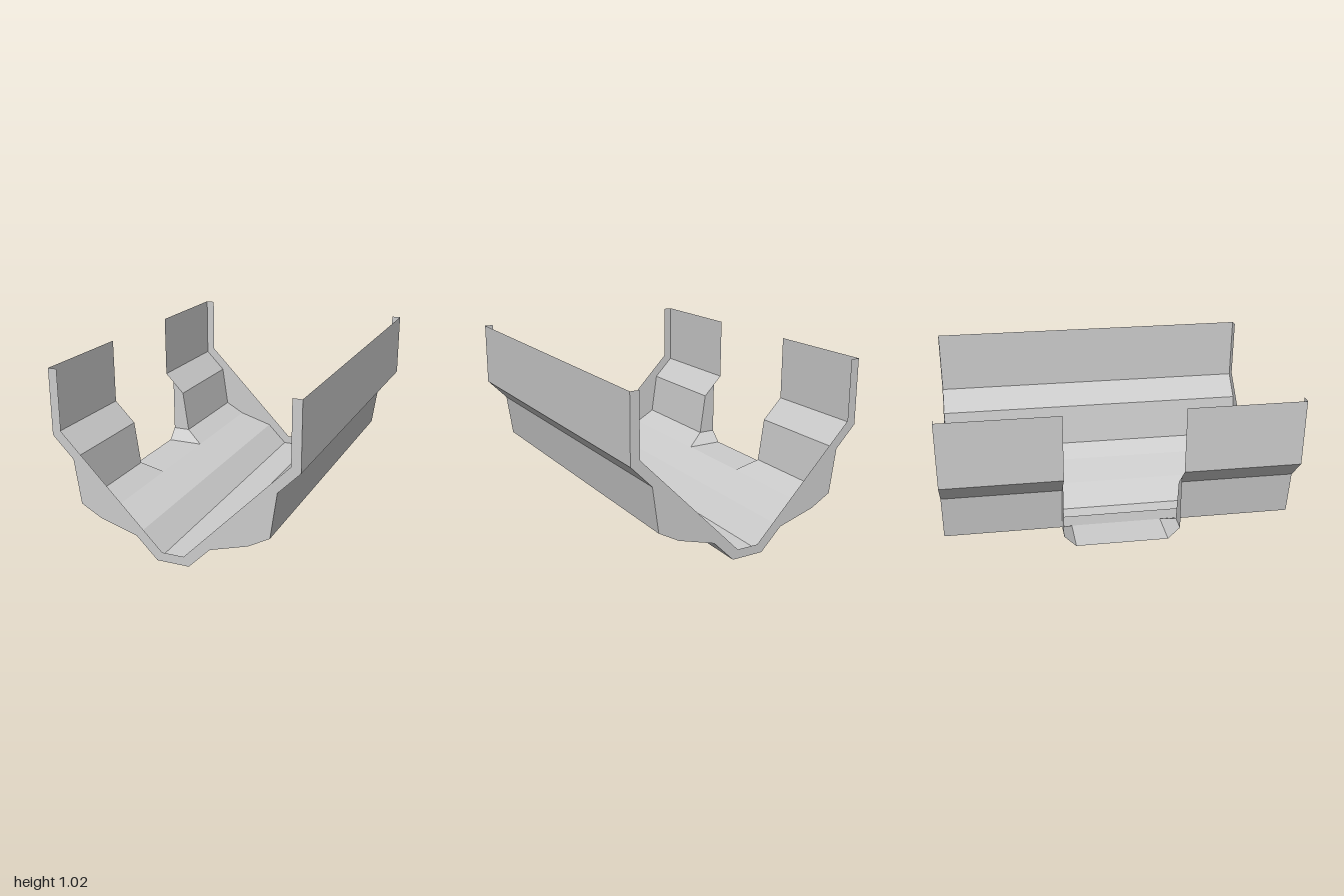
import * as THREE from 'three';

const grey = new THREE.MeshStandardMaterial({ color: 0xcccccc, side: THREE.DoubleSide });
grey.name = 'plain grey';

// Outer half profile, from the bottom edge up to the rim
const outer = [[0.095, 0], [0.22, 0.125], [0.44, 0.19], [0.56, 0.257], [0.597, 0.515], [0.72, 0.64], [0.72, 1.02]];
// Inner half profile, used only by the end plates
const inner = [[0.667, 1.02], [0.667, 0.667], [0.065, 0.053]];
const END = 1;
const SPOUT_X = -0.667;

// Flat faceted mesh from convex polygons
function facets(name, polygons) {
  const pos = [];
  for (const p of polygons) {
    for (let i = 1; i < p.length - 1; i++) pos.push(...p[0], ...p[i], ...p[i + 1]);
  }
  const geometry = new THREE.BufferGeometry();
  geometry.setAttribute('position', new THREE.Float32BufferAttribute(pos, 3));
  geometry.computeVertexNormals();
  const mesh = new THREE.Mesh(geometry, grey);
  mesh.name = name;
  return mesh;
}

// Strip between two profile points, each with its own z range
const strip = (a, b, za0, za1, zb0, zb1) =>
  [[...a, za0], [...a, za1], [...b, zb1], [...b, zb0]];

export function createModel() {
  const group = new THREE.Group();
  group.name = 'trough';
  const mirror = ([x, y]) => [-x, y];

  // Bottom and the unbroken left wall
  group.add(facets('bottom', [strip(mirror(outer[0]), outer[0], -END, END, -END, END)]));
  const left = [], right = [];
  for (let i = 0; i < outer.length - 1; i++) {
    const a = outer[i], b = outer[i + 1];
    left.push(strip(a, b, -END, END, -END, END));

    // Right wall, with an opening in the middle above the second fold
    const ma = mirror(a), mb = mirror(b);
    if (i < 2) {
      right.push(strip(mb, ma, -END, END, -END, END));
    } else {
      const ga = i === 2 ? 0.265 : 0.333, gb = 0.333;
      right.push(strip(mb, ma, -END, -gb, -END, -ga), strip(mb, ma, gb, END, ga, END));
    }
  }
  group.add(facets('leftWall', left), facets('rightWall', right));

  // Spout floor in the opening
  group.add(facets('spoutFloor', [
    strip([SPOUT_X, 0.19], [-0.44, 0.19], -0.265, 0.265, -0.265, 0.265),
  ]));

  // Sloped corner and upright cheek on each side of the spout
  for (const s of [1, -1]) {
    const corner = [
      [SPOUT_X, 0.257, 0.333 * s], [-0.56, 0.257, 0.333 * s],
      [-0.44, 0.19, 0.265 * s], [SPOUT_X, 0.19, 0.265 * s],
    ];
    const cheek = [[SPOUT_X, 0.257], [-0.56, 0.257], [-0.597, 0.515], [SPOUT_X, 0.586]]
      .map(p => [...p, 0.333 * s]);
    if (s > 0) { corner.reverse(); cheek.reverse(); }
    group.add(facets('spoutCorner', [corner]), facets('spoutCheek', [cheek]));
  }

  // Plates closing the wall thickness at both ends
  const half = [...outer, ...inner];
  const outline = [...half, ...half.map(mirror).reverse()].map(p => new THREE.Vector2(...p));
  for (const s of [1, -1]) {
    const plate = new THREE.Mesh(new THREE.ShapeGeometry(new THREE.Shape(outline)), grey);
    plate.name = s > 0 ? 'frontEndPlate' : 'backEndPlate';
    plate.position.z = END * s;
    if (s < 0) plate.rotation.y = Math.PI;
    group.add(plate);
  }
  return group;
}
